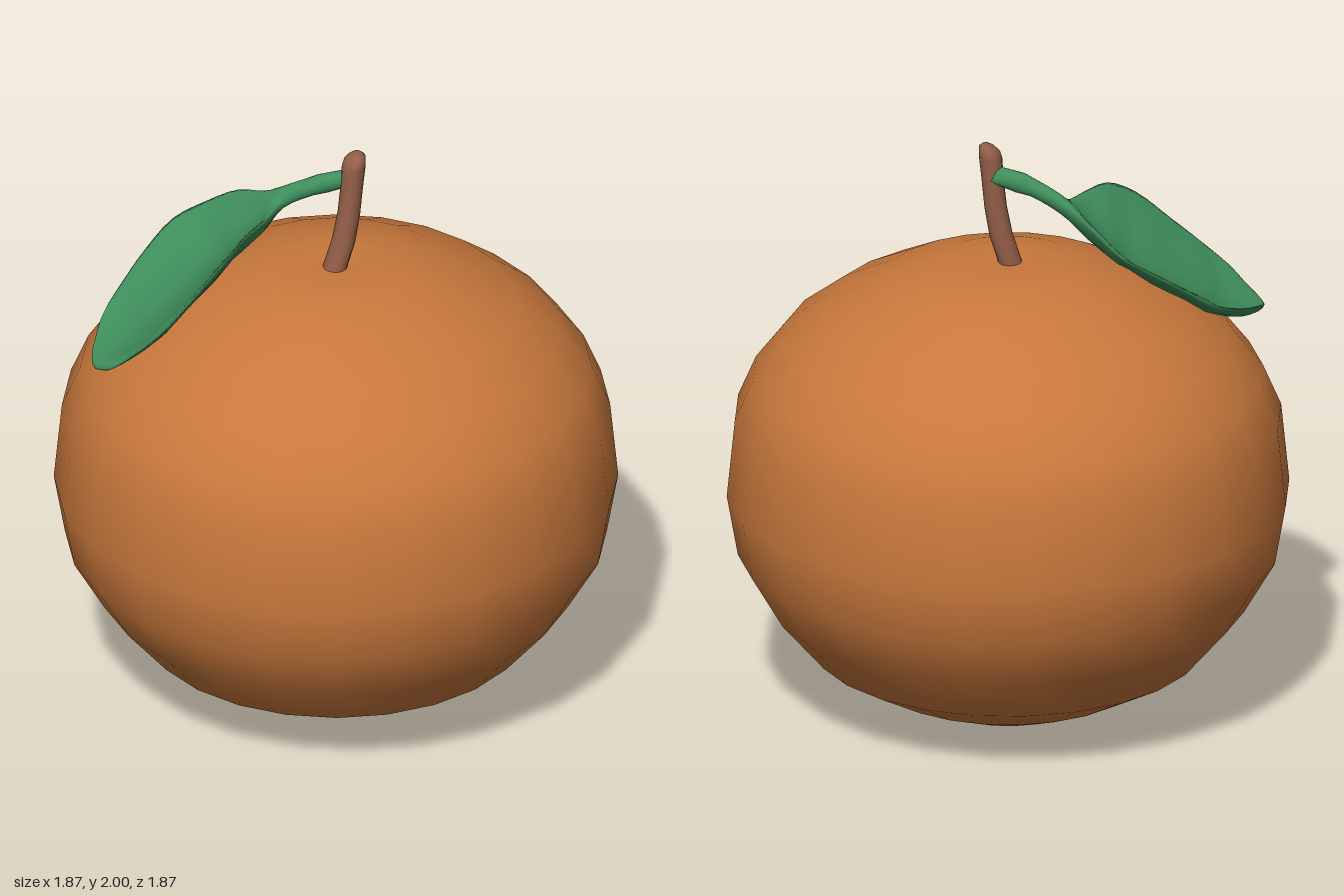
import * as THREE from 'three';

// Closed skin over rings of equal point count, capped at both ends.
// Rings run counter-clockwise about the direction of travel.
function loft(rings) {
  const n = rings[0].length, last = (rings.length - 1) * n, index = [];
  for (let i = 0; i < rings.length - 1; i++) {
    for (let j = 0; j < n; j++) {
      const a = i * n + j, b = i * n + (j + 1) % n;
      index.push(a, b, a + n, b, b + n, a + n);
    }
  }
  for (let k = 1; k < n - 1; k++) {
    index.push(0, k + 1, k, last, last + k, last + k + 1);
  }
  const geometry = new THREE.BufferGeometry().setFromPoints(rings.flat());
  geometry.setIndex(index);
  geometry.computeVertexNormals();
  return geometry;
}

function part(name, geometry, material) {
  const mesh = new THREE.Mesh(geometry, material);
  mesh.name = name;
  return mesh;
}

const curve = points => new THREE.CatmullRomCurve3(points.map(p => new THREE.Vector3(...p)));

function mat(name, color) {
  const material = new THREE.MeshStandardMaterial({ color });
  material.name = name;
  return material;
}

// Squat round body, 24 sides
function fruitGeometry() {
  const profile = [
    [0, 0.01], [0.15, 0], [0.27, 0.025], [0.45, 0.1], [0.65, 0.21], [0.795, 0.38],
    [0.9, 0.56], [0.937, 0.77], [0.91, 1.04], [0.85, 1.18], [0.745, 1.315],
    [0.6, 1.425], [0.41, 1.52], [0.26, 1.565], [0.14, 1.58], [0, 1.572],
  ];
  return new THREE.LatheGeometry(profile.map(p => new THREE.Vector2(...p)), 24);
}

// Bent stem with a rounded, slanted tip: [x, y, radius across x, radius across z, tilt]
function stemGeometry() {
  const sections = [
    [-0.025, 1.5, 0.04, 0.045, 0], [-0.006, 1.58, 0.04, 0.045, 0],
    [0.022, 1.67, 0.038, 0.043, -0.006], [0.04, 1.77, 0.037, 0.042, -0.004],
    [0.05, 1.87, 0.037, 0.043, 0], [0.057, 1.95, 0.039, 0.048, 0.006],
    [0.06, 1.975, 0.036, 0.044, 0.01], [0.061, 1.988, 0.022, 0.028, 0.008],
    [0.061, 1.991, 0.008, 0.01, 0.003],
  ];
  return loft(sections.map(([x, y, rx, rz, tilt]) =>
    Array.from({ length: 16 }, (_, j) => {
      const a = j / 16 * Math.PI * 2;
      return new THREE.Vector3(x + rx * Math.sin(a), y + tilt * Math.sin(a), 0.015 + rz * Math.cos(a));
    })));
}

// Stalk and cupped blade in one skin, guided by two edges, a midrib and a thickness
function leafGeometry() {
  const front = curve([
    [0.05, 1.895, 0.025], [-0.08, 1.855, -0.012], [-0.17, 1.805, -0.045], [-0.25, 1.8, 0.04],
    [-0.34, 1.8, 0.125], [-0.44, 1.74, 0.185], [-0.56, 1.63, 0.215], [-0.67, 1.53, 0.23],
    [-0.75, 1.46, 0.215], [-0.82, 1.385, 0.165], [-0.855, 1.36, 0.11],
  ]);
  const rib = curve([
    [0.05, 1.895, -0.005], [-0.08, 1.855, -0.042], [-0.18, 1.8, -0.08], [-0.26, 1.72, -0.08],
    [-0.35, 1.65, -0.07], [-0.46, 1.57, -0.05], [-0.58, 1.49, -0.02], [-0.7, 1.41, 0.02],
    [-0.79, 1.375, 0.05], [-0.845, 1.365, 0.075], [-0.858, 1.36, 0.085],
  ]);
  const back = curve([
    [0.05, 1.895, -0.035], [-0.08, 1.86, -0.072], [-0.19, 1.81, -0.125], [-0.27, 1.77, -0.235],
    [-0.36, 1.7, -0.31], [-0.47, 1.64, -0.33], [-0.58, 1.56, -0.285], [-0.68, 1.48, -0.22],
    [-0.77, 1.43, -0.12], [-0.83, 1.385, 0], [-0.855, 1.362, 0.06],
  ]);
  const thickness = curve([0.03, 0.03, 0.028, 0.025, 0.022, 0.022, 0.022, 0.022, 0.02, 0.016, 0.006]
    .map(t => [t, 0, 0]));
  const up = new THREE.Vector3(-0.45, 0.89, 0);
  const steps = 30, sides = 20, rings = [];
  for (let i = 0; i <= steps; i++) {
    const t = i / steps;
    const f = front.getPoint(t), m = rib.getPoint(t), b = back.getPoint(t), h = thickness.getPoint(t).x;
    rings.push(Array.from({ length: sides }, (_, j) => {
      const a = j / sides * Math.PI * 2, s = Math.cos(a);
      // parabola through edge, midrib and edge
      return new THREE.Vector3()
        .addScaledVector(f, s * (s + 1) / 2)
        .addScaledVector(m, 1 - s * s)
        .addScaledVector(b, s * (s - 1) / 2)
        .addScaledVector(up, h * Math.sin(a));
    }));
  }
  return loft(rings);
}

export function createModel() {
  const group = new THREE.Group();
  group.name = 'fruit';
  group.add(
    part('fruitBody', fruitGeometry(), mat('orange peel', 0xc8783c)),
    part('stem', stemGeometry(), mat('brown stem', 0x955f49)),
    part('leaf', leafGeometry(), mat('leaf green', 0x3f8f5c)),
  );
  return group;
}
